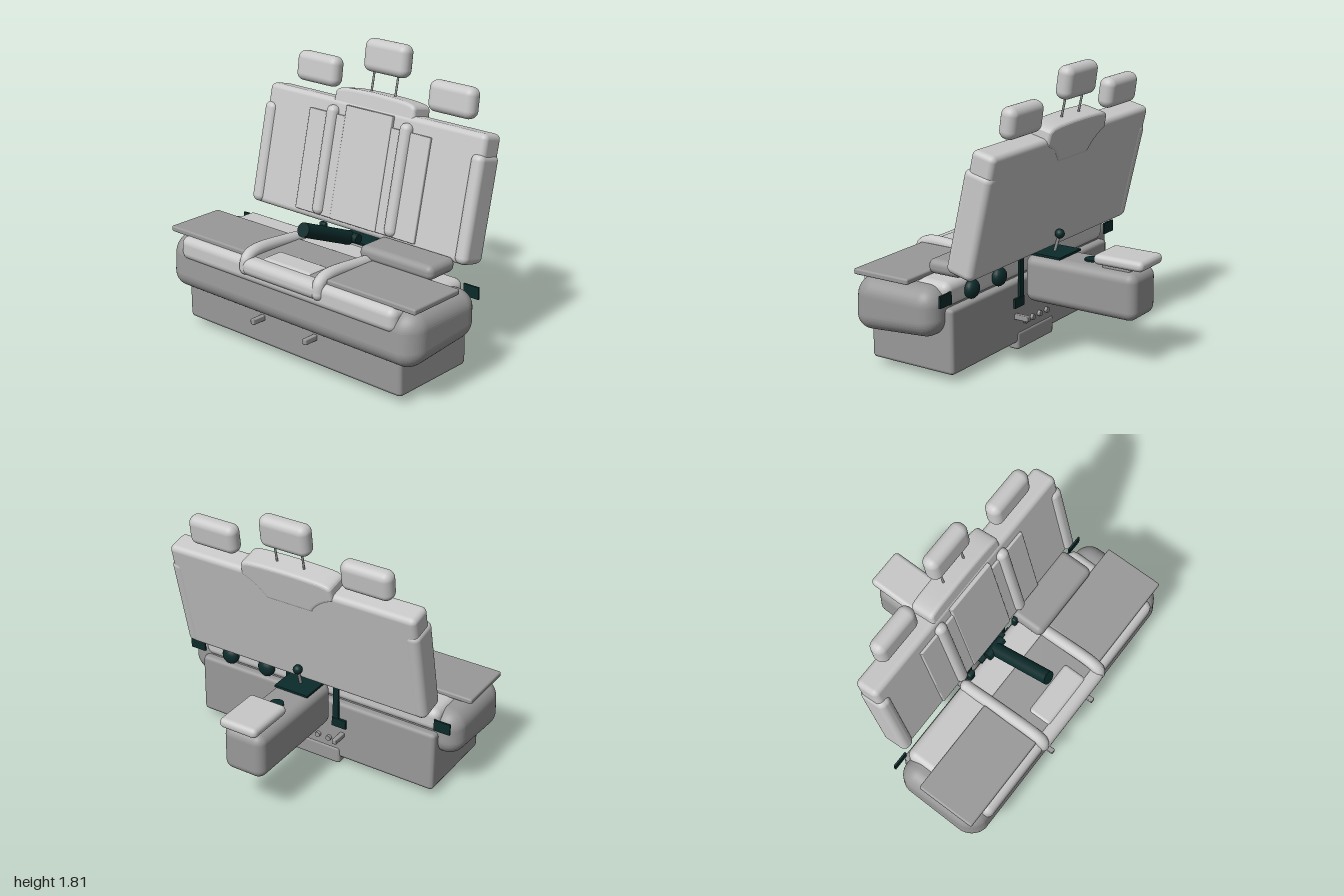
import * as THREE from 'three';
import { RoundedBoxGeometry } from 'three/addons/geometries/RoundedBoxGeometry.js';

const material = (name, color) => {
  const m = new THREE.MeshStandardMaterial({ color });
  m.name = name;
  return m;
};

export function createModel() {
  const model = new THREE.Group();
  model.name = 'benchSeat';
  const light = material('lightGrey', 0xc8c8c8);
  const mid = material('midGrey', 0x999999);
  const dark = material('darkTrim', 0x0c2b2b);

  const add = (parent, name, geometry, mat, x = 0, y = 0, z = 0) => {
    const mesh = new THREE.Mesh(geometry, mat);
    mesh.name = name;
    mesh.position.set(x, y, z);
    parent.add(mesh);
    return mesh;
  };
  // Rounded block given by its limits on each axis
  const block = (parent, name, mat, [x0, x1], [y0, y1], [z0, z1], r, segments = 5) =>
    add(parent, name, new RoundedBoxGeometry(x1 - x0, y1 - y0, z1 - z0, segments, r), mat,
      (x0 + x1) / 2, (y0 + y1) / 2, (z0 + z1) / 2);
  const plate = (parent, name, mat, [x0, x1], [y0, y1], [z0, z1]) =>
    add(parent, name, new THREE.BoxGeometry(x1 - x0, y1 - y0, z1 - z0), mat,
      (x0 + x1) / 2, (y0 + y1) / 2, (z0 + z1) / 2);
  // Round bar between two points
  const rod = (parent, name, mat, a, b, r, sides = 24) => {
    const from = new THREE.Vector3(...a), to = new THREE.Vector3(...b);
    const dir = to.clone().sub(from);
    const mesh = add(parent, name, new THREE.CylinderGeometry(r, r, dir.length(), sides), mat);
    mesh.position.copy(from).add(to).multiplyScalar(0.5);
    mesh.quaternion.setFromUnitVectors(new THREE.Vector3(0, 1, 0), dir.normalize());
    return mesh;
  };

  // Base box, foot and the small rails below the cushion
  block(model, 'baseBox', mid, [-0.87, 0.87], [0.05, 0.46], [0.07, 0.675], 0.025, 1);
  block(model, 'foot', mid, [-0.2, 0.2], [0.005, 0.12], [0.062, 0.14], 0.018, 1);
  for (const s of [-1, 1]) {
    block(model, 'frontRail', mid, [s * 0.215 - 0.016, s * 0.215 + 0.016], [0.215, 0.25], [0.6, 0.77], 0.006, 1);
    block(model, 'rearRail', mid, [s * 0.215 - 0.016, s * 0.215 + 0.016], [0.215, 0.25], [-0.03, 0.15], 0.006, 1);
  }
  for (let i = 0; i < 4; i++) {
    const x = -0.12 + i * 0.08;
    rod(model, 'rearStud', mid, [x, 0.18, 0.1], [x, 0.18, 0.05], 0.018, 12);
  }

  // Lower cushion: rounded, bowed towards the ends, raised at the rear underside
  const cushion = new RoundedBoxGeometry(2, 0.345, 0.65, 8, 0.11);
  const p = cushion.attributes.position;
  for (let i = 0; i < p.count; i++) {
    const x = p.getX(i), y = p.getY(i), z = p.getZ(i);
    if (y < 0) p.setY(i, y + 0.045 * (0.325 - z) / 0.65);
    if (z > 0) p.setZ(i, z - 0.05 * x * x * x * x);
    if (y > 0 && z > 0) p.setZ(i, p.getZ(i) - 0.025 * y / 0.17);
  }
  cushion.computeVertexNormals();
  add(model, 'seatCushion', cushion, mid, 0, 0.418, 0.445);

  // Upper seat layers
  block(model, 'upperCushion', light, [-0.87, 0.87], [0.46, 0.612], [0.1, 0.745], 0.05);
  for (const s of [-1, 1]) {
    const xs = s > 0 ? [0.33, 0.99] : [-0.99, -0.33];
    block(model, 'seatPad', mid, xs, [0.603, 0.64], [0.3, 0.7], 0.012, 2);
    // Raised bolster running forward and down over the cushion edge
    const path = new THREE.CatmullRomCurve3([
      [0.6, 0.13], [0.63, 0.4], [0.64, 0.66], [0.61, 0.72], [0.55, 0.73],
    ].map(([y, z]) => new THREE.Vector3(s * 0.295, y, z)));
    add(model, 'seatBolster', new THREE.TubeGeometry(path, 32, 0.04, 14), light);
    for (const t of [0, 1]) {
      const end = path.getPoint(t);
      add(model, 'bolsterEnd', new THREE.SphereGeometry(0.04, 14, 10), light, end.x, end.y, end.z);
    }
  }
  block(model, 'centreFrontBolster', light, [-0.315, 0.315], [0.51, 0.622], [0.65, 0.77], 0.05);
  block(model, 'centrePad', mid, [-0.27, 0.27], [0.59, 0.625], [0.3, 0.69], 0.012, 2);
  block(model, 'centrePadFront', light, [-0.2, 0.2], [0.55, 0.633], [0.53, 0.7], 0.03);
  block(model, 'foldedArmrest', mid, [0.23, 0.785], [0.62, 0.712], [0.075, 0.312], 0.04);

  // Backrest, built upright and then leaned back
  const back = new THREE.Group();
  back.name = 'backrest';
  back.position.set(0, 0.65, 0.025);
  back.rotation.x = -0.23;
  model.add(back);
  block(back, 'backPanel', light, [-0.865, 0.865], [0.01, 0.79], [-0.085, 0.078], 0.035);
  for (const s of [-1, 1]) {
    block(back, 'sideBolster', light, [s * 0.83 - 0.046, s * 0.83 + 0.046], [0.015, 0.67], [-0.09, 0.1], 0.04);
    block(back, 'innerBolster', light, [s * 0.295 - 0.041, s * 0.295 + 0.041], [0.05, 0.745], [0.03, 0.125], 0.038);
  }
  block(back, 'backInsert', light, [-0.485, 0.485], [0.05, 0.695], [0.03, 0.095], 0.006, 1);
  block(back, 'centreInsert', light, [-0.185, 0.185], [0.05, 0.765], [0.03, 0.102], 0.006, 1);

  // Tapered block carrying the middle headrest
  const top = new THREE.Shape();
  top.moveTo(-0.15, 0.64);
  top.lineTo(0.15, 0.64);
  top.quadraticCurveTo(0.2, 0.72, 0.3, 0.765);
  top.lineTo(0.295, 0.825);
  top.quadraticCurveTo(0.29, 0.84, 0.2, 0.845);
  top.quadraticCurveTo(0, 0.855, -0.2, 0.845);
  top.quadraticCurveTo(-0.29, 0.84, -0.295, 0.825);
  top.lineTo(-0.3, 0.765);
  top.quadraticCurveTo(-0.2, 0.72, -0.15, 0.64);
  add(back, 'headrestCarrier', new THREE.ExtrudeGeometry(top, {
    depth: 0.12, bevelSize: 0.022, bevelThickness: 0.022, bevelSegments: 4, curveSegments: 10,
  }), light, 0, 0, -0.07);

  // Headrests and posts
  for (const [x, y, z, h] of [[-0.535, 1.56, -0.195, 0.192], [0, 1.711, -0.23, 0.205], [0.535, 1.56, -0.195, 0.192]]) {
    const rest = add(model, 'headrest', new RoundedBoxGeometry(0.338, h, 0.11, 6, 0.05), light, x, y, z);
    rest.rotation.x = -0.14;
  }
  for (const s of [-1, 1]) rod(model, 'headrestPost', mid, [s * 0.095, 1.46, -0.175], [s * 0.095, 1.66, -0.22], 0.007, 10);

  // Rearward centre box with its lid and discs
  block(model, 'rearBox', mid, [-0.142, 0.142], [0.31, 0.61], [-0.72, 0.065], 0.06);
  block(model, 'rearBoxLid', light, [-0.132, 0.132], [0.63, 0.695], [-0.765, -0.425], 0.03);
  block(model, 'lidSupport', mid, [-0.09, 0.09], [0.58, 0.65], [-0.66, -0.47], 0.01, 1);
  for (const z of [-0.345, -0.425]) rod(model, 'disc', dark, [0, 0.6, z], [0, 0.622, z], 0.045);

  // Dark fittings: top plate, lever, tilted handle and brackets
  plate(model, 'topPlate', dark, [-0.12, 0.12], [0.613, 0.627], [-0.19, 0.12]);
  rod(model, 'leverRod', mid, [0, 0.62, -0.075], [0, 0.73, -0.108], 0.01, 10);
  add(model, 'leverKnob', new THREE.SphereGeometry(0.031, 18, 12), dark, 0, 0.74, -0.112);
  rod(model, 'handle', dark, [0, 0.815, 0.54], [0, 0.65, 0.14], 0.045);
  rod(model, 'handlePivot', dark, [-0.075, 0.655, 0.13], [0.075, 0.655, 0.13], 0.03);
  for (const s of [-1, 1]) {
    block(model, 'pivotBracket', dark, [s * 0.23 - 0.025, s * 0.23 + 0.025], [0.6, 0.69], [0.1, 0.135], 0.012, 2);
    plate(model, 'rearStrap', dark, [s * 0.175 - 0.02, s * 0.175 + 0.02], [0.3, 0.6], [0.05, 0.066]);
    plate(model, 'strapFoot', dark, [s * 0.2 - 0.05, s * 0.2 + 0.05], [0.295, 0.355], [0.048, 0.064]);
    plate(model, 'endTab', dark, [s * 0.91 - 0.055, s * 0.91 + 0.055], [0.495, 0.57], [0.08, 0.092]);
  }
  for (const x of [0.37, 0.65]) {
    const knob = add(model, 'rearKnob', new THREE.SphereGeometry(0.06, 18, 12), dark, x, 0.53, 0.085);
    knob.scale.z = 0.7;
  }
  return model;
}
